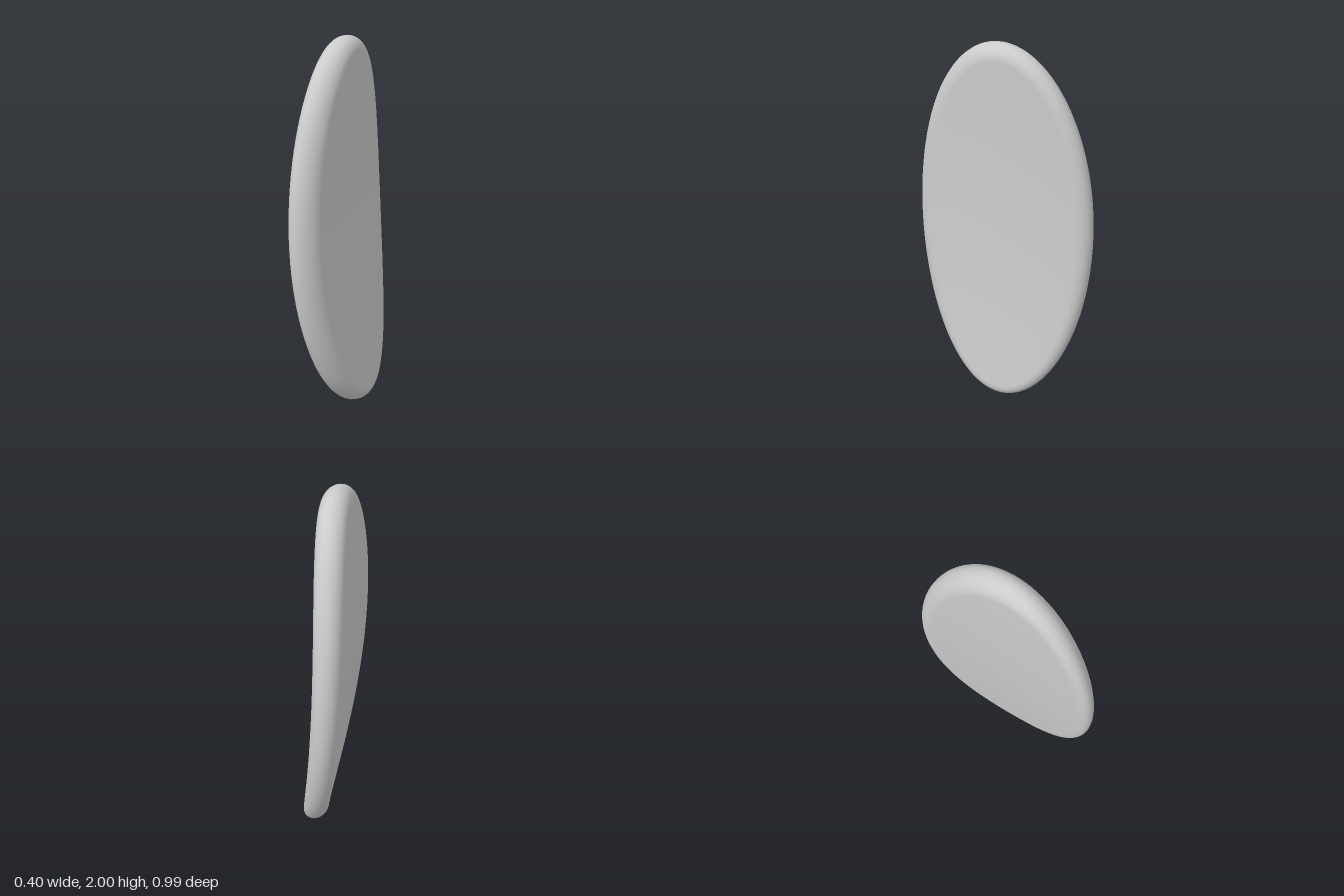
import * as THREE from 'three';
import { mergeVertices } from 'three/addons/utils/BufferGeometryUtils.js';

const HALF_WIDTH = 0.495, HALF_HEIGHT = 1, HALF_THICK = 0.07, RIM = 0.075;

// Sideways position of the shell's middle surface: bowed across z, leaning along y
function bend(v, z) {
  const across = 0.01 - 0.244 * z - 0.2 * z * z;
  const along = 0.0415 * v * v - 0.0535 * v;
  return across + along;
}

// Half section of a disc: flat face, round rim, flat face
function discProfile() {
  const inner = HALF_WIDTH - RIM, rings = 14, rimSteps = 16;
  const points = [];
  for (let i = 0; i < rings; i++) points.push(new THREE.Vector2(inner * i / rings, -HALF_THICK));
  for (let i = 0; i <= rimSteps; i++) {
    const a = -Math.PI / 2 + Math.PI * i / rimSteps;
    points.push(new THREE.Vector2(inner + RIM * Math.cos(a), HALF_THICK * Math.sin(a)));
  }
  for (let i = rings - 1; i >= 0; i--) points.push(new THREE.Vector2(inner * i / rings, HALF_THICK));
  return points;
}

function createPadGeometry() {
  let geometry = new THREE.LatheGeometry(discProfile(), 96);
  const pos = geometry.attributes.position;
  const inner = HALF_WIDTH - RIM;
  for (let i = 0; i < pos.count; i++) {
    const z = pos.getX(i), offset = pos.getY(i), u = pos.getZ(i);
    const r = Math.hypot(z, u);
    // Stretch the disc to an oval while keeping the rim width constant
    const extra = (HALF_HEIGHT - HALF_WIDTH) * Math.min(r / inner, 1);
    const v = r > 1e-6 ? u * (1 + extra / r) : 0;
    pos.setXYZ(i, bend(v, z) + offset, v + HALF_HEIGHT, z);
  }
  // Weld the seam so the shading stays smooth
  geometry.deleteAttribute('uv');
  geometry.deleteAttribute('normal');
  geometry = mergeVertices(geometry, 1e-5);
  geometry.computeVertexNormals();
  return geometry;
}

export function createModel() {
  const group = new THREE.Group();
  group.name = 'curvedOvalPad';
  const pad = new THREE.Mesh(
    createPadGeometry(),
    new THREE.MeshStandardMaterial({ color: 0xcccccc })
  );
  pad.name = 'pad';
  group.add(pad);
  return group;
}
